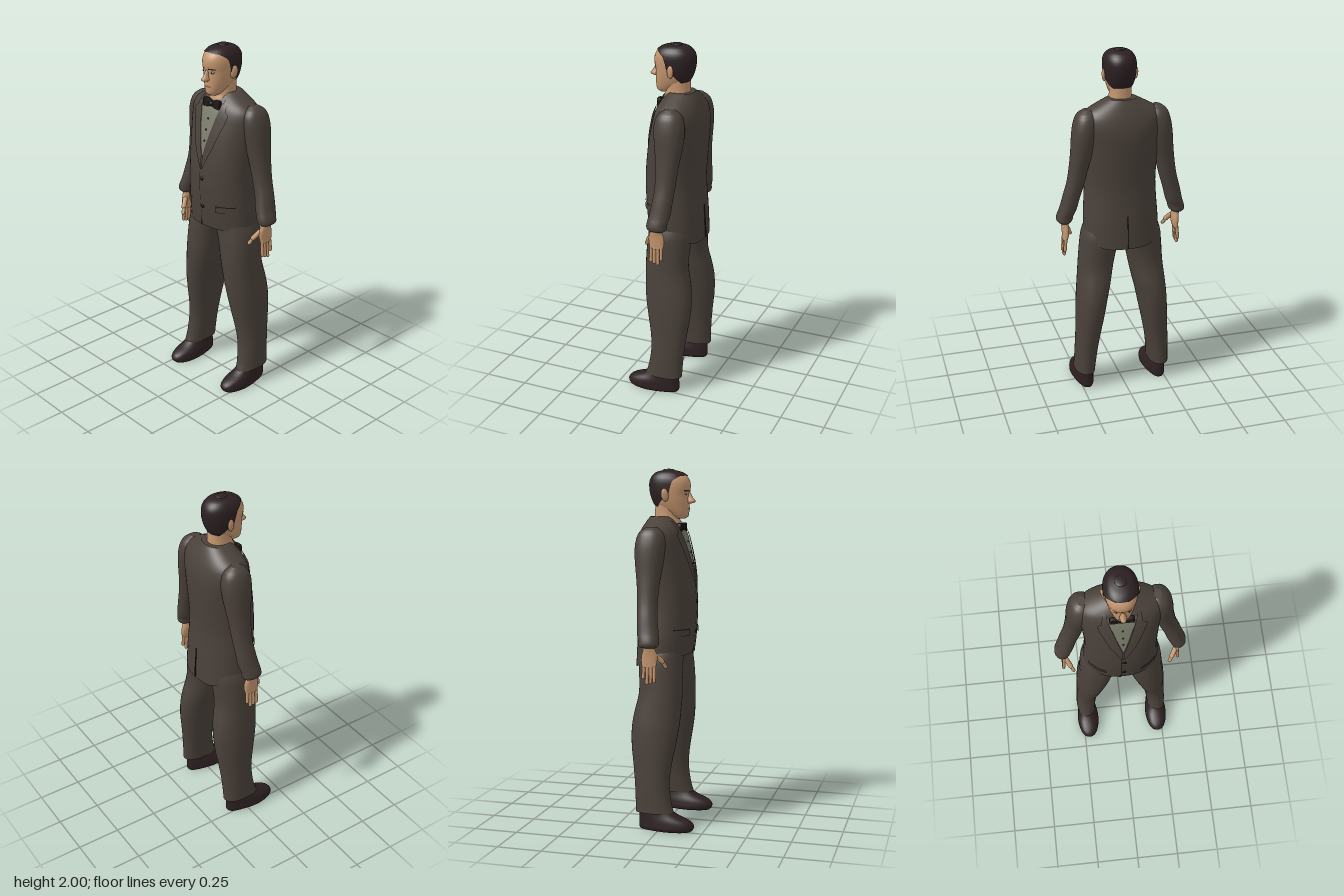
import * as THREE from 'three';

const mat = (name, color, side = THREE.FrontSide) => Object.assign(new THREE.MeshStandardMaterial({ color, side }), { name });

// Smooth lookup of [xMin, xMax, zBack, zFront] at a height, from rows [y, xMin, xMax, zBack, zFront]
function profile(rows) {
  const ys = rows.map(r => r[0]);
  const spline = new THREE.CubicInterpolant(ys, rows.flatMap(r => r.slice(1)), 4);
  return { ys, at: y => Array.from(spline.evaluate(y)) };
}
const sym = rows => rows.map(([y, w, zb, zf]) => [y, -w, w, zb, zf]);
const mirrored = (rows, s) => s > 0 ? rows : rows.map(([y, a, b, c, d]) => [y, -b, -a, c, d]);

// Piecewise linear function through [y, value] points
const ramp = pts => y => {
  let i = 0;
  while (i < pts.length - 2 && y > pts[i + 1][0]) i++;
  const [a, b] = [pts[i], pts[i + 1]];
  return THREE.MathUtils.lerp(a[1], b[1], THREE.MathUtils.clamp((y - a[0]) / (b[0] - a[0]), 0, 1));
};

// Skin of horizontal rounded rings; an edge function leaves the front open ahead of z = edge(y)
function loft(prof, { n = 2.2, seg = 32, sub = 3, grow = 0, edge = null, tweak = null } = {}) {
  const pos = [], idx = [], ys = [];
  prof.ys.forEach((y, i) => {
    if (i) for (let k = 1; k <= sub; k++) ys.push(THREE.MathUtils.lerp(prof.ys[i - 1], y, k / sub));
    else ys.push(y);
  });
  const cols = edge ? seg + 1 : seg;
  for (const y of ys) {
    const [x0, x1, z0, z1] = prof.at(y);
    const cx = (x0 + x1) / 2, cz = (z0 + z1) / 2, rx = (x1 - x0) / 2 + grow, rz = (z1 - z0) / 2 + grow;
    let start = 0;
    if (edge) {
      const c = THREE.MathUtils.clamp((edge(y) - cz) / rz, -1, 1);
      start = Math.acos(Math.sign(c) * Math.abs(c) ** (n / 2));
    }
    for (let j = 0; j < cols; j++) {
      const a = start + (2 * Math.PI - 2 * start) * j / seg, s = Math.sin(a), c = Math.cos(a);
      const v = new THREE.Vector3(cx + rx * Math.sign(s) * Math.abs(s) ** (2 / n), y, cz + rz * Math.sign(c) * Math.abs(c) ** (2 / n));
      if (tweak) tweak(v, cx);
      pos.push(v.x, v.y, v.z);
    }
  }
  const rows = ys.length;
  for (let i = 0; i < rows - 1; i++) for (let j = 0; j < seg; j++) {
    const a = i * cols + j, b = i * cols + (j + 1) % cols;
    idx.push(a, b, b + cols, a, b + cols, a + cols);
  }
  // End caps with their own vertices, so that their rims stay sharp
  for (const top of [false, true]) {
    const base = pos.length / 3, from = top ? (rows - 1) * cols : 0, mid = [0, 0, 0];
    if (edge && !top) continue;
    for (let j = 0; j < cols; j++) for (let k = 0; k < 3; k++) {
      const p = pos[(from + j) * 3 + k];
      pos.push(p);
      mid[k] += p / cols;
    }
    pos.push(...mid);
    for (let j = 0; j < cols; j++) {
      const a = base + j, b = base + (j + 1) % cols;
      idx.push(base + cols, top ? a : b, top ? b : a);
    }
  }
  return surface(pos, idx);
}
function surface(pos, idx) {
  const g = new THREE.BufferGeometry();
  g.setAttribute('position', new THREE.Float32BufferAttribute(pos, 3));
  g.setIndex(idx);
  g.computeVertexNormals();
  return g;
}

// Thin panel laid on the front of a loft, between two x edges that vary with height
function drape(prof, y0, y1, left, right, off, n = 2.2, rows = 24, cols = 8) {
  const pos = [], idx = [];
  for (let i = 0; i <= rows; i++) for (let j = 0; j <= cols; j++) {
    const y = THREE.MathUtils.lerp(y0, y1, i / rows), x = THREE.MathUtils.lerp(left(y), right(y), j / cols);
    const [xa, xb, za, zb] = prof.at(y);
    const t = Math.min(1, Math.abs(x - (xa + xb) / 2) / ((xb - xa) / 2));
    pos.push(x, y, (za + zb) / 2 + (zb - za) / 2 * (1 - t ** n) ** (1 / n) + off);
    if (i < rows && j < cols) {
      const a = i * (cols + 1) + j, d = a + cols + 1;
      idx.push(a, a + 1, d + 1, a, d + 1, d);
    }
  }
  return surface(pos, idx);
}

// Rounded finger between two points
function finger(a, b, r) {
  const p = new THREE.Vector3(...a), q = new THREE.Vector3(...b), d = q.clone().sub(p);
  const g = new THREE.CapsuleGeometry(r, d.length(), 5, 10);
  g.applyQuaternion(new THREE.Quaternion().setFromUnitVectors(new THREE.Vector3(0, 1, 0), d.normalize()));
  const m = p.add(q).multiplyScalar(0.5);
  return g.translate(m.x, m.y, m.z);
}

export function createModel() {
  const root = new THREE.Group();
  const D = THREE.DoubleSide;
  const suit = mat('suit cloth', 0x4a413a, D), hairMat = mat('hair', 0x2c2022, D), leather = mat('shoe leather', 0x2d2021);
  const skin = mat('skin', 0xc4966f), shirt = mat('shirt', 0x7a7c6b, D), lips = mat('lips', 0x8f5f4b, D);
  const white = mat('eye white', 0xb5b2a8), dark = mat('dark trim', 0x1e1718, D);
  const add = (name, geo, m, parent = root) => {
    const mesh = new THREE.Mesh(geo, m);
    mesh.name = name;
    parent.add(mesh);
    return mesh;
  };
  const k = v => () => v;

  // Jacket body, with the hem dropping towards the back
  const torso = profile(sym([
    [0.975, 0.215, -0.186, 0.13], [1.05, 0.212, -0.18, 0.14], [1.15, 0.205, -0.172, 0.148], [1.25, 0.2, -0.168, 0.151],
    [1.38, 0.205, -0.175, 0.141], [1.5, 0.215, -0.181, 0.121], [1.58, 0.225, -0.178, 0.101], [1.64, 0.222, -0.163, 0.083],
    [1.675, 0.195, -0.148, 0.068], [1.71, 0.135, -0.13, 0.045], [1.738, 0.083, -0.112, 0.02]]));
  add('jacket', loft(torso, { seg: 48, tweak: v => {
    if (v.y < 1.075) v.y -= 0.075 * Math.min(1, Math.max(0, -(v.z + 0.03) / 0.14)) * (1.075 - v.y) / 0.1;
  } }), suit);
  const vee = ramp([[1.4, 0.003], [1.69, 0.076]]);
  add('shirtFront', drape(torso, 1.4, 1.685, y => -vee(y), vee, 0.004), shirt);
  const outer = ramp([[1.32, 0.006], [1.45, 0.068], [1.6, 0.122], [1.64, 0.132], [1.65, 0.108], [1.71, 0.098]]);
  const pocketX = [0.095, 0.188];
  for (const s of [1, -1]) {
    const span = (a, b) => s > 0 ? [a, b] : [y => -b(y), y => -a(y)];
    add('lapel', drape(torso, 1.32, 1.712, ...span(vee, outer), 0.009, 2.2, 40), suit);
    add('pocketFlap', drape(torso, 1.085, 1.118, ...span(k(pocketX[0]), k(pocketX[1])), 0.008), suit);
    add('pocketSeam', drape(torso, 1.118, 1.124, ...span(k(pocketX[0]), k(pocketX[1])), 0.005, 2.2, 2), dark);
  }
  add('frontSeam', drape(torso, 0.977, 1.36, k(-0.014), k(-0.0115), 0.003, 2.2, 24, 1), dark);
  add('hemOpening', drape(torso, 0.976, 1.04, y => -0.013 - 0.25 * (1.04 - y), k(-0.012), 0.0035), dark);
  const vent = add('backVent', new THREE.BoxGeometry(0.005, 0.19, 0.008), dark);
  vent.position.set(0, 1.0, -0.182);
  vent.rotation.x = 0.07;

  // Buttons, studs and bow tie
  for (const y of [1.265, 1.1]) add('jacketButton', new THREE.SphereGeometry(0.011, 14, 8).scale(1, 1, 0.5), dark).position.set(0.004, y, torso.at(y)[3] + 0.004);
  for (const y of [1.48, 1.54, 1.6]) add('shirtStud', new THREE.SphereGeometry(0.005, 10, 6), dark).position.set(0, y, torso.at(y)[3] + 0.005);
  const bow = new THREE.Shape();
  bow.moveTo(0, 0.009);
  bow.quadraticCurveTo(0.03, 0.026, 0.06, 0.02);
  bow.quadraticCurveTo(0.066, 0, 0.06, -0.02);
  bow.quadraticCurveTo(0.03, -0.022, 0, -0.009);
  bow.quadraticCurveTo(-0.03, -0.022, -0.06, -0.02);
  bow.quadraticCurveTo(-0.066, 0, -0.06, 0.02);
  bow.quadraticCurveTo(-0.03, 0.026, 0, 0.009);
  add('bowTie', new THREE.ExtrudeGeometry(bow, { depth: 0.014, bevelSize: 0.003, bevelThickness: 0.004, bevelSegments: 2 }), dark).position.set(0, 1.678, 0.062);
  add('bowKnot', new THREE.SphereGeometry(0.014, 14, 10), dark).position.set(0, 1.678, 0.074);

  // Neck and head
  add('neck', loft(profile(sym([[1.64, 0.074, -0.09, 0.055], [1.7, 0.071, -0.092, 0.061], [1.73, 0.062, -0.088, 0.05], [1.8, 0.06, -0.085, 0.045]]))), skin);
  const head = profile(sym([
    [1.727, 0.022, 0.04, 0.085], [1.737, 0.036, 0.01, 0.1], [1.76, 0.051, -0.03, 0.106], [1.79, 0.064, -0.072, 0.107],
    [1.82, 0.073, -0.092, 0.107], [1.86, 0.08, -0.106, 0.106], [1.9, 0.083, -0.112, 0.114], [1.94, 0.08, -0.108, 0.107],
    [1.968, 0.066, -0.09, 0.083], [1.985, 0.045, -0.064, 0.05], [1.993, 0.018, -0.03, 0.012]]));
  add('head', loft(head, { seg: 40 }), skin);
  const hairProf = { ys: [1.775, 1.8, 1.82, 1.86, 1.9, 1.94, 1.955, 1.968, 1.985, 1.993], at: head.at };
  const hairline = ramp([[1.775, -0.07], [1.81, -0.045], [1.84, -0.02], [1.86, 0.012], [1.9, 0.022], [1.935, 0.034], [1.96, 0.075], [1.972, 0.2]]);
  add('hair', loft(hairProf, { seg: 40, grow: 0.007, sub: 4, edge: hairline }), hairMat);
  add('hairCrown', new THREE.SphereGeometry(0.03, 20, 8, 0, Math.PI * 2, 0, Math.PI / 2).scale(1, 0.26, 1.1), hairMat).position.set(0, 1.992, -0.01);

  // Face
  add('nose', loft(profile(sym([[1.81, 0.01, 0.085, 0.12], [1.818, 0.018, 0.085, 0.143], [1.84, 0.012, 0.085, 0.131], [1.872, 0.008, 0.085, 0.113]])), { seg: 16 }), skin);
  add('mouth', drape(head, 1.777, 1.786, k(-0.025), k(0.025), 0.002, 2.2, 2), lips);
  for (const s of [1, -1]) {
    add('eye', new THREE.SphereGeometry(0.013, 14, 8).scale(1, 0.45, 0.5), white).position.set(s * 0.032, 1.861, 0.096);
    add('iris', new THREE.SphereGeometry(0.005, 10, 8), dark).position.set(s * 0.032, 1.861, 0.0995);
    const [a, b] = s > 0 ? [0.014, 0.052] : [-0.052, -0.014];
    add('eyebrow', drape(head, 1.876, 1.883, k(a), k(b), 0.002, 2.2, 2), hairMat);
    const ear = add('ear', new THREE.SphereGeometry(0.036, 16, 12).scale(0.3, 1, 0.6), skin);
    ear.position.set(s * 0.088, 1.857, -0.008);
    ear.rotation.set(-0.15, s * -0.35, s * -0.12);
  }

  // Limbs, both sides
  const sleeve = [
    [1.045, 0.296, 0.36, -0.08, 0.014], [1.055, 0.285, 0.37, -0.088, 0.022], [1.08, 0.278, 0.369, -0.09, 0.024],
    [1.12, 0.262, 0.355, -0.1, 0.018], [1.2, 0.24, 0.335, -0.106, 0.005], [1.28, 0.215, 0.313, -0.112, 0],
    [1.38, 0.19, 0.297, -0.12, 0.005], [1.45, 0.17, 0.289, -0.13, 0.013], [1.55, 0.145, 0.281, -0.14, 0.026],
    [1.62, 0.14, 0.268, -0.134, 0.026], [1.665, 0.15, 0.247, -0.112, 0.005], [1.686, 0.175, 0.218, -0.08, -0.025]];
  const leg = [
    [0.1, 0.167, 0.283, -0.137, 0.08], [0.14, 0.163, 0.281, -0.138, 0.068], [0.26, 0.148, 0.277, -0.145, 0.052],
    [0.36, 0.13, 0.272, -0.156, 0.06], [0.47, 0.108, 0.268, -0.17, 0.08], [0.575, 0.088, 0.262, -0.172, 0.097],
    [0.65, 0.07, 0.255, -0.162, 0.103], [0.76, 0.048, 0.245, -0.138, 0.107], [0.89, 0.02, 0.235, -0.142, 0.104],
    [0.96, -0.006, 0.226, -0.145, 0.1], [1.05, -0.01, 0.19, -0.13, 0.1]];
  const shoe = [
    [0, 0.16, 0.28, -0.112, 0.182], [0.012, 0.153, 0.287, -0.119, 0.193], [0.035, 0.154, 0.286, -0.12, 0.194],
    [0.058, 0.158, 0.283, -0.119, 0.17], [0.085, 0.167, 0.277, -0.117, 0.105], [0.125, 0.175, 0.272, -0.112, 0.05]];
  const palm = [
    [0.935, 0.314, 0.337, -0.068, 0.008], [0.96, 0.306, 0.338, -0.074, 0.014], [1.0, 0.302, 0.34, -0.072, 0.016],
    [1.03, 0.304, 0.344, -0.062, 0.006], [1.065, 0.306, 0.35, -0.06, 0]];
  for (const s of [1, -1]) {
    const side = new THREE.Group();
    side.name = s > 0 ? 'leftLimbs' : 'rightLimbs';
    root.add(side);
    const limb = (name, rows, m, opts) => add(name, loft(profile(mirrored(rows, s)), opts), m, side);
    limb('sleeve', sleeve, suit);
    limb('trouserLeg', leg, suit);
    limb('shoe', shoe, leather, { n: 2.3, tweak: (v, cx) => {
      // Narrower heel
      v.x = cx + (v.x - cx) * (0.78 + 0.22 * THREE.MathUtils.smoothstep(v.z, -0.08, 0.08));
    } });
    limb('palm', palm, skin, { seg: 20 });
    [0.885, 0.855, 0.85, 0.868].forEach((tip, i) => {
      const z = 0.001 - i * 0.0195;
      const tipY = i ? tip : 0.862;
      add('finger', finger([s * 0.325, 0.955, z], [s * 0.332, tipY + (i === 3 ? 0.012 : 0), z * 1.05], 0.0095), skin, side);
    });
    add('thumb', finger([s * 0.31, 1.0, 0.005], [s * 0.29, 0.965, 0.034], 0.014), skin, side);
    add('thumbTip', finger([s * 0.29, 0.965, 0.034], [s * 0.276, 0.935, 0.05], 0.0105), skin, side);
  }
  return root;
}
